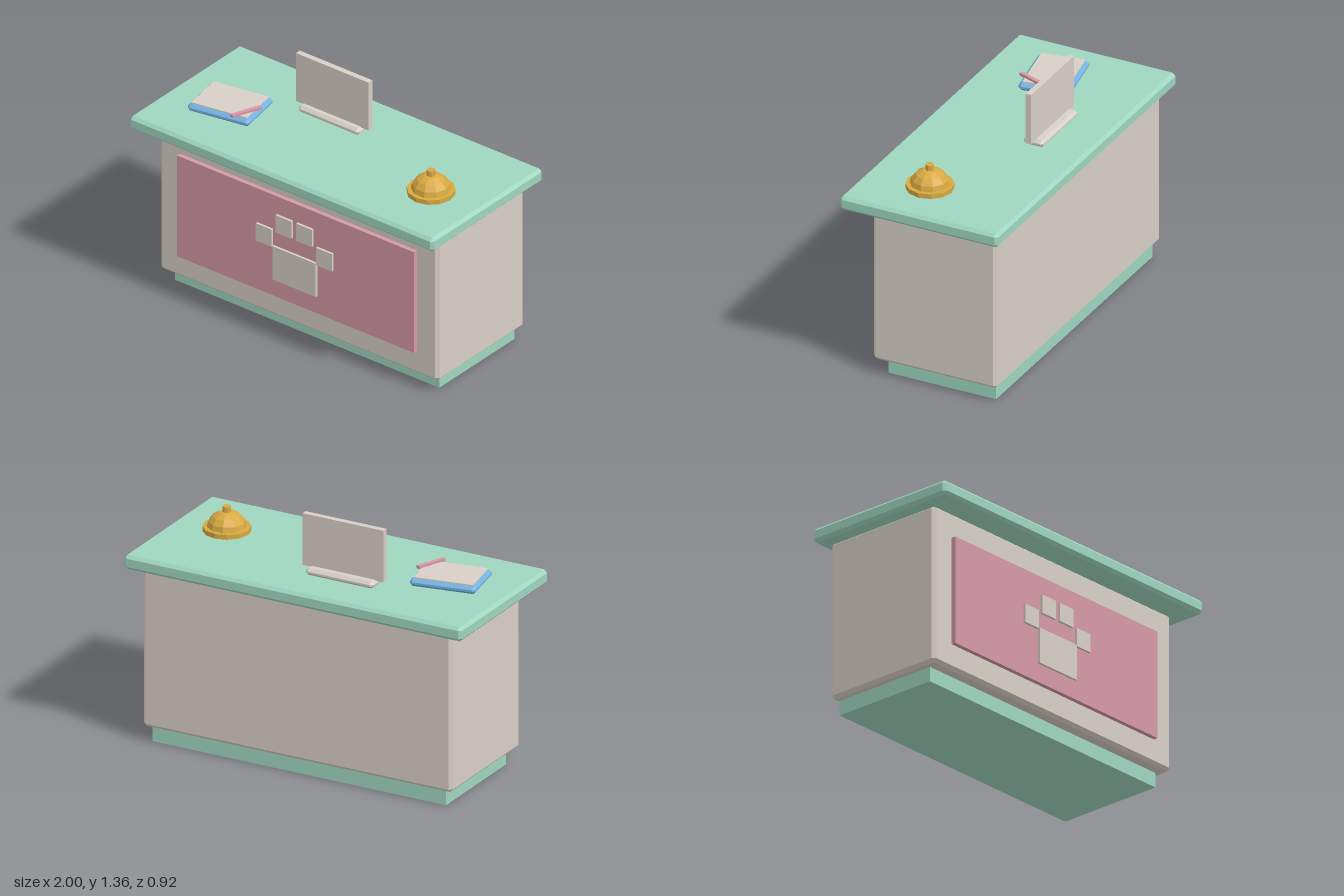
import * as THREE from 'three';
import { ConvexGeometry } from 'three/addons/geometries/ConvexGeometry.js';

const material = (name, color, flatShading = true) => {
  const m = new THREE.MeshStandardMaterial({ color, flatShading });
  m.name = name;
  return m;
};

// Box with chamfered edges: hull of three corner points per corner
function chamferBox(w, h, d, b) {
  const points = [];
  for (const x of [-1, 1]) for (const y of [-1, 1]) for (const z of [-1, 1]) {
    for (let k = 0; k < 3; k++) {
      points.push(new THREE.Vector3(
        x * (w / 2 - (k === 0 ? 0 : b)),
        y * (h / 2 - (k === 1 ? 0 : b)),
        z * (d / 2 - (k === 2 ? 0 : b))));
    }
  }
  return new ConvexGeometry(points);
}

export function createModel() {
  const group = new THREE.Group();
  group.name = 'receptionDesk';
  const mint = material('mint', 0x9fd6c0);
  const cream = material('cream', 0xd8cfc7);
  const pink = material('pink', 0xd698a8);
  const gold = material('gold', 0xd9a941);
  const blue = material('blue', 0x74b3e2);

  const add = (name, geometry, mat, x, y, z, parent = group) => {
    const mesh = new THREE.Mesh(geometry, mat);
    mesh.name = name;
    mesh.position.set(x, y, z);
    parent.add(mesh);
    return mesh;
  };
  const box = (w, h, d) => new THREE.BoxGeometry(w, h, d);

  // Desk
  add('plinth', box(1.74, 0.1, 0.625), mint, 0, 0.05, -0.0725);
  add('body', chamferBox(1.83, 0.89, 0.72, 0.018), cream, 0, 0.527, -0.05);
  add('counterTop', chamferBox(2, 0.08, 0.92, 0.017), mint, 0, 1, 0);

  // Front panel with paw emblem
  add('frontPanel', box(1.56, 0.605, 0.03), pink, 0, 0.5225, 0.32);
  add('pawPad', box(0.285, 0.2, 0.025), cream, 0, 0.425, 0.336);
  for (const [x, y] of [[-0.2, 0.57], [-0.07, 0.667], [0.065, 0.667], [0.197, 0.57]]) {
    add('pawToe', box(0.104, 0.104, 0.025), cream, x, y, 0.336);
  }

  // Monitor
  add('monitorBase', chamferBox(0.4, 0.04, 0.118, 0.015), cream, -0.145, 1.057, -0.172);
  add('monitorScreen', box(0.478, 0.288, 0.032), cream, -0.145, 1.216, -0.168);

  // Clipboard with paper and pencil
  const clipboard = new THREE.Group();
  clipboard.name = 'clipboard';
  clipboard.position.set(-0.642, 1.04, 0.068);
  clipboard.rotation.y = 0.175;
  group.add(clipboard);
  add('clipboardCover', chamferBox(0.362, 0.043, 0.278, 0.016), blue, 0, 0.02, 0, clipboard);
  add('paper', box(0.325, 0.02, 0.24), cream, 0, 0.038, 0, clipboard);
  add('pencil', box(0.175, 0.016, 0.022), pink, -0.497, 1.093, 0.118).rotation.y = 1.2;

  // Desk bell
  const bell = new THREE.Group();
  bell.name = 'deskBell';
  bell.position.set(0.697, 0, 0.09);
  group.add(bell);
  add('bellBase', new THREE.CylinderGeometry(0.127, 0.127, 0.03, 12), gold, 0, 1.051, 0, bell);
  const dome = new THREE.SphereGeometry(0.106, 10, 4, 0, Math.PI * 2, 0, Math.PI / 2);
  dome.scale(1, 0.85, 1);
  add('bellDome', dome, gold, 0, 1.06, 0, bell);
  add('bellButton', new THREE.CylinderGeometry(0.023, 0.023, 0.04, 8), gold, 0, 1.157, 0, bell);

  return group;
}
